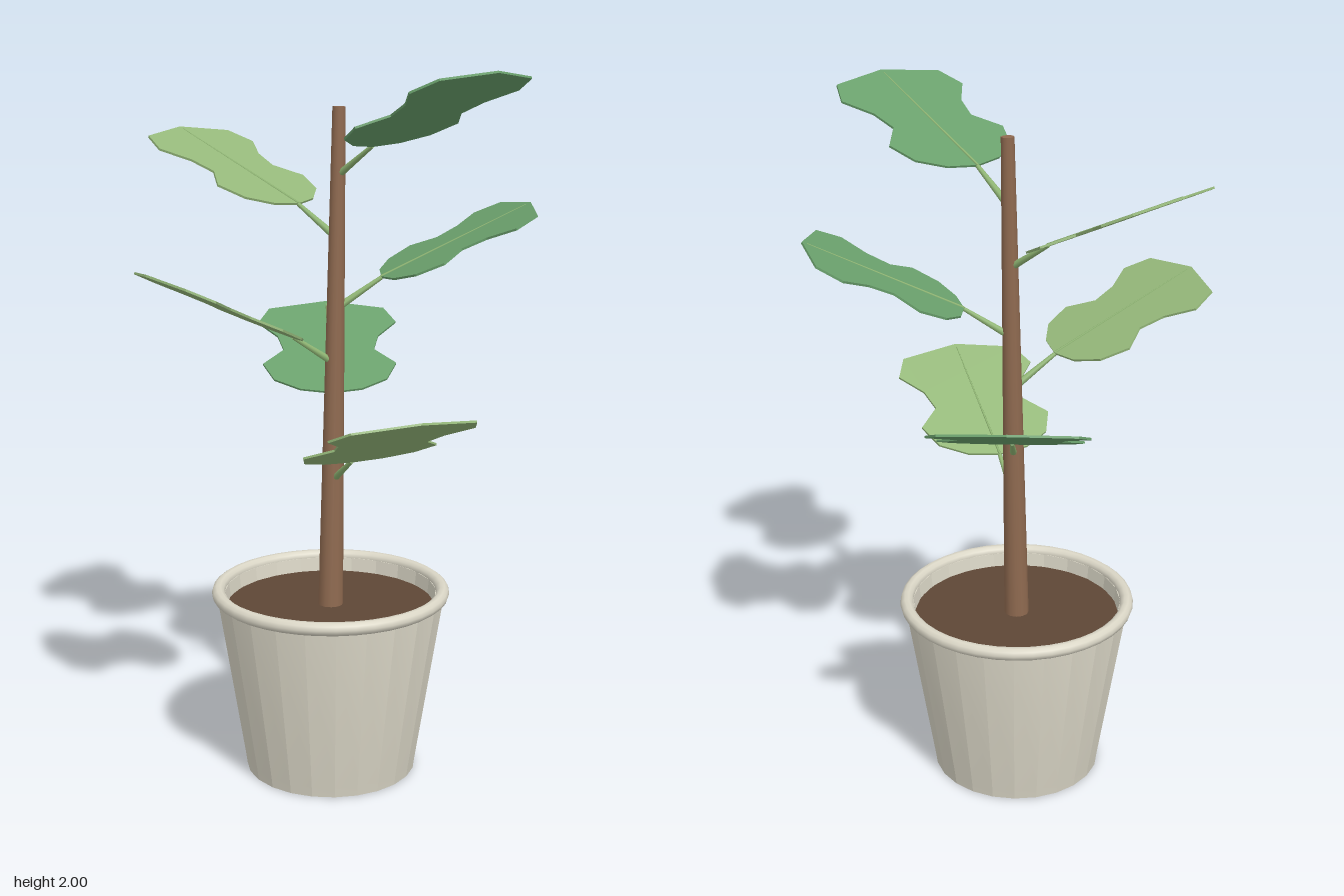
import * as THREE from 'three';
import { toCreasedNormals } from 'three/addons/utils/BufferGeometryUtils.js';

const mat = (name, color) => Object.assign(new THREE.MeshStandardMaterial({ color }), { name });
const mesh = (name, geometry, material) => Object.assign(new THREE.Mesh(geometry, material), { name });

// Tapered round rod between two points
function rod(name, a, b, r0, r1, sides, material) {
  const dir = b.clone().sub(a);
  const m = mesh(name, new THREE.CylinderGeometry(r1, r0, dir.length(), sides), material);
  m.position.copy(a).lerp(b, 0.5);
  m.quaternion.setFromUnitVectors(new THREE.Vector3(0, 1, 0), dir.normalize());
  return m;
}

// Flat fiddle-shaped blade along +x, symmetric about its midrib
function bladeGeometry(length, thickness) {
  const half = [[0.035, 0.09], [0.135, 0.165], [0.3, 0.197], [0.45, 0.135],
    [0.6, 0.152], [0.755, 0.21], [0.915, 0.177]];
  const side = (s, list) => list.map(([u, w]) => new THREE.Vector2(u * length, s * w));
  const outline = [new THREE.Vector2(0, 0), ...side(-1, half),
    new THREE.Vector2(length, 0), ...side(1, [...half].reverse())];
  const g = new THREE.ExtrudeGeometry(new THREE.Shape(outline), { depth: thickness, bevelEnabled: false });
  return g.rotateX(-Math.PI / 2).translate(0, -thickness / 2, 0);
}

export function createModel() {
  const model = new THREE.Group();
  model.name = 'pottedPlant';
  const ceramic = mat('ceramic', 0xdad6c6);
  const earth = mat('earth', 0x5e4736);
  const bark = mat('bark', 0x8f6a50);
  const stalkGreen = mat('stalkGreen', 0x8fb573);
  const lightGreen = mat('lightGreen', 0x95b87a);
  const deepGreen = mat('deepGreen', 0x6aa06c);

  // Pot: tapered wall with a short foot, rolled rim and soil
  const pot = new THREE.Group();
  pot.name = 'pot';
  pot.position.set(-0.003, 0, 0.005);
  const profile = [[0, 0], [0.246, 0], [0.25, 0.03], [0.326, 0.51], [0.326, 0.53],
    [0.304, 0.53], [0.296, 0.46]].map(([x, y]) => new THREE.Vector2(x, y));
  pot.add(mesh('potWall', toCreasedNormals(new THREE.LatheGeometry(profile, 24), 0.2), ceramic));
  const rim = mesh('potRim', new THREE.TorusGeometry(0.323, 0.019, 10, 40), ceramic);
  rim.rotation.x = Math.PI / 2;
  rim.position.y = 0.531;
  const soil = mesh('soil', new THREE.CylinderGeometry(0.299, 0.295, 0.03, 32), earth);
  soil.position.y = 0.475;
  pot.add(rim, soil);
  model.add(pot);

  // Slightly leaning trunk
  const foot = new THREE.Vector3(-0.003, 0.47, 0.005);
  const top = new THREE.Vector3(0.022, 1.9, -0.016);
  model.add(rod('trunk', foot, top, 0.036, 0.018, 12, bark));

  // Leaves spiralling up the trunk: [blade base height, azimuth in degrees]
  const leaves = [[0.943, 69.3], [1.083, -89.7], [1.28, 154.6], [1.433, -7.9], [1.63, -142.2], [1.8, 47.9]];
  const reach = 0.13, run = 0.427, rise = 0.198;
  const length = Math.hypot(run, rise);
  const blade = bladeGeometry(length, 0.006);
  leaves.forEach(([y, degrees], i) => {
    const az = THREE.MathUtils.degToRad(degrees);
    const start = foot.clone().lerp(top, (y - 0.085 - foot.y) / (top.y - foot.y));
    const end = new THREE.Vector3(start.x + reach * Math.cos(az), y, start.z + reach * Math.sin(az));
    model.add(rod('leafStalk', start, end, 0.011, 0.006, 8, stalkGreen));

    const leaf = new THREE.Group();
    leaf.name = 'leaf';
    leaf.position.copy(end);
    leaf.rotation.set(0, -az, Math.atan2(rise, run));
    leaf.add(mesh('leafBlade', blade, i % 2 ? deepGreen : lightGreen));
    leaf.add(rod('leafMidrib', new THREE.Vector3(0, 0.003, 0),
      new THREE.Vector3(length * 0.97, 0.003, 0), 0.004, 0.0015, 6, stalkGreen));
    model.add(leaf);
  });
  return model;
}
